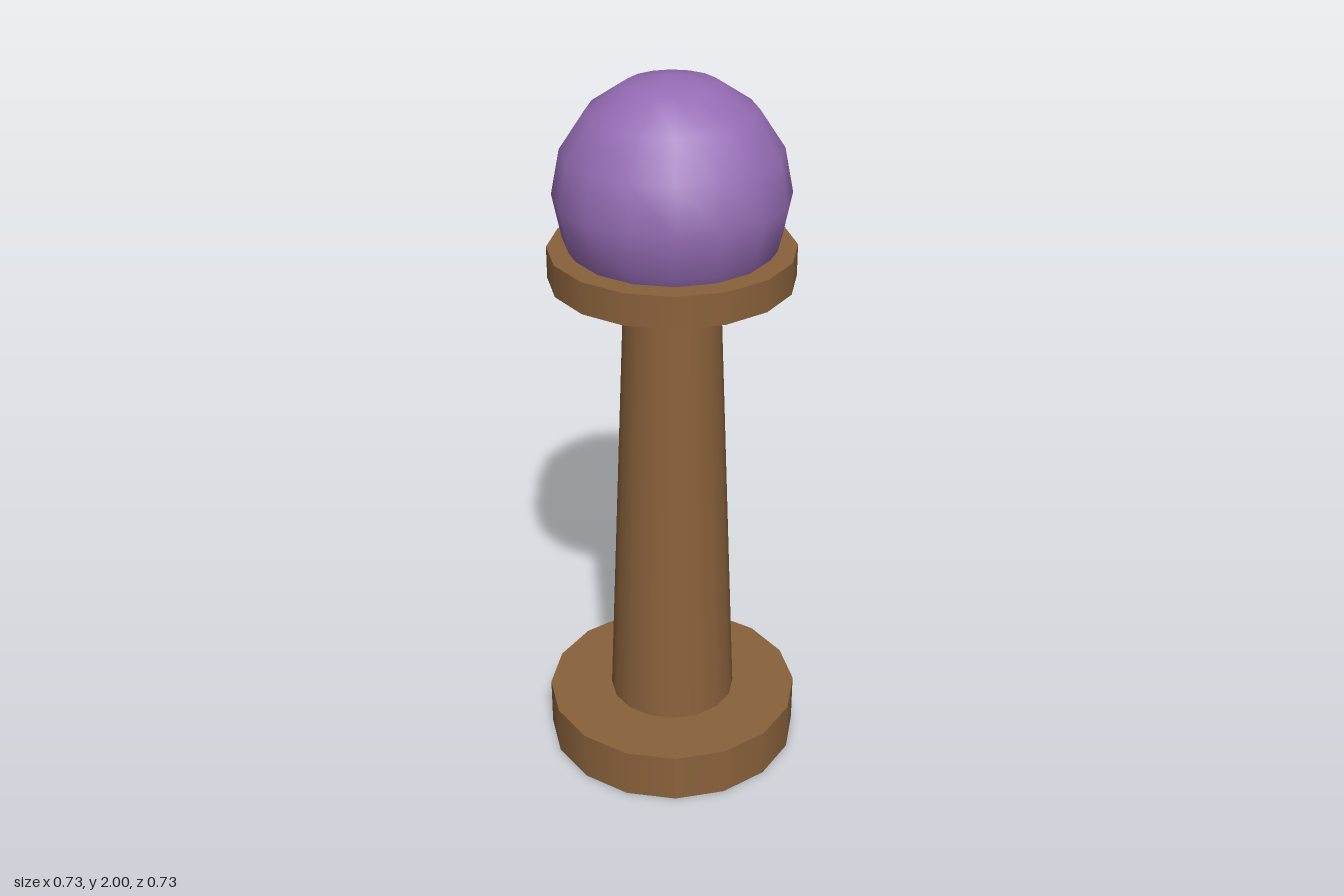
import * as THREE from 'three';

const SIDES = 16;

export function createModel() {
  const group = new THREE.Group();
  const wood = new THREE.MeshStandardMaterial({ name: 'brown wood', color: 0x89613b });
  const orb = new THREE.MeshStandardMaterial({ name: 'purple orb', color: 0x956cb4 });

  const add = (name, geometry, material, y) => {
    const mesh = new THREE.Mesh(geometry, material);
    mesh.name = name;
    mesh.position.y = y;
    group.add(mesh);
  };

  // Round wooden section between two heights
  const turned = (name, rTop, rBottom, y0, y1) =>
    add(name, new THREE.CylinderGeometry(rTop, rBottom, y1 - y0, SIDES), wood, (y0 + y1) / 2);

  turned('base', 0.363, 0.363, 0, 0.145);
  turned('column', 0.129, 0.181, 0.145, 1.42);
  turned('collar', 0.327, 0.327, 1.46, 1.547);

  // Ball resting on the column, passing through the collar
  add('ball', new THREE.SphereGeometry(0.309, SIDES, 8), orb, 1.691);

  return group;
}
